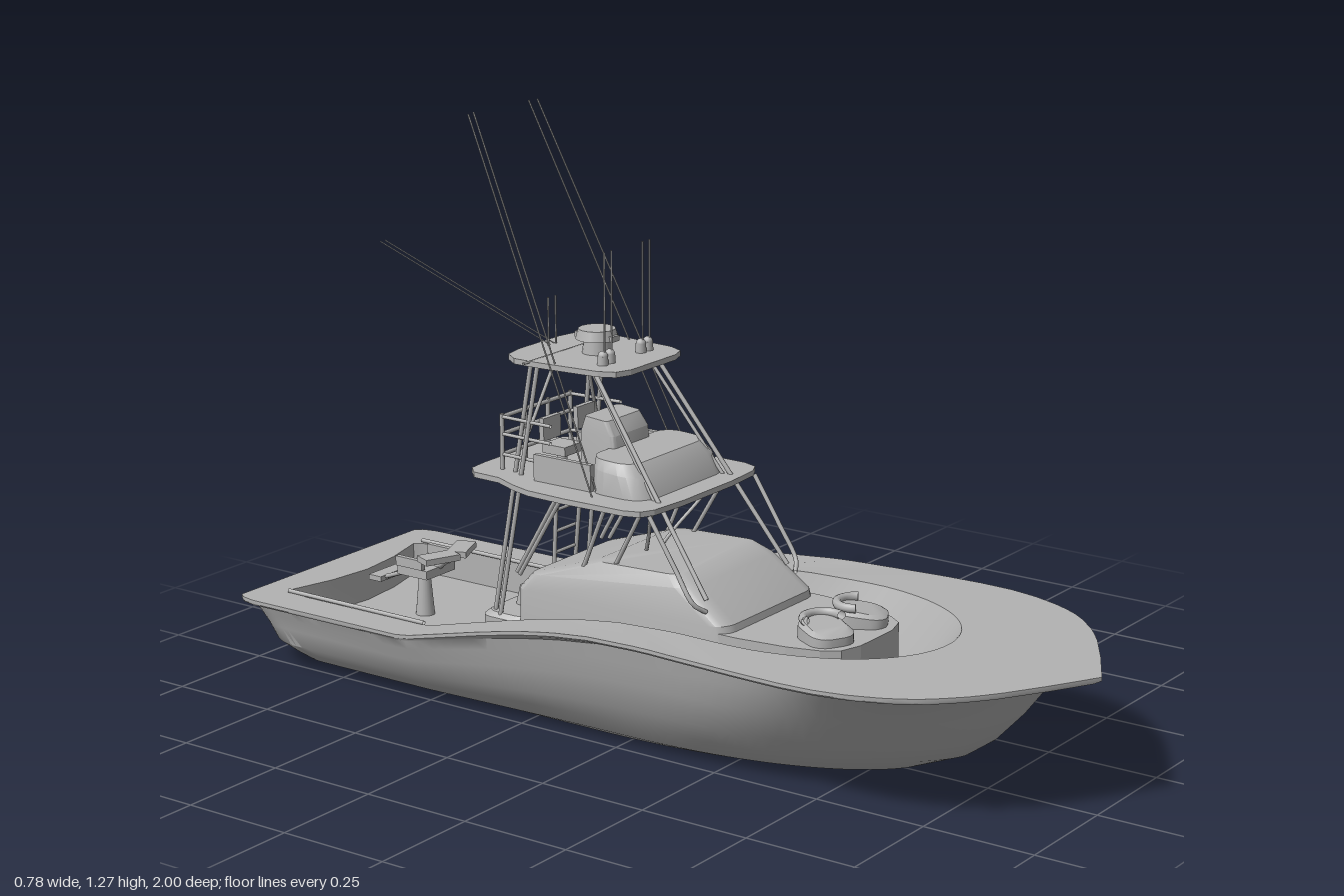
import * as THREE from 'three';
import { toCreasedNormals } from 'three/addons/utils/BufferGeometryUtils.js';

const paint = new THREE.MeshStandardMaterial({ color: 0xb2b2b2, side: THREE.DoubleSide });
paint.name = 'grey paint';

const V = (x, y, z) => new THREE.Vector3(x, y, z);
const clamp = (t) => Math.min(1, Math.max(0, t));

// linear lookup in a list of [key, value] pairs
function lookup(table, k) {
  if (k <= table[0][0]) return table[0][1];
  for (let i = 1; i < table.length; i++) {
    const [k0, v0] = table[i - 1], [k1, v1] = table[i];
    if (k <= k1) return v0 + (v1 - v0) * (k - k0) / (k1 - k0);
  }
  return table[table.length - 1][1];
}

function surface(pos, idx, angle) {
  const g = new THREE.BufferGeometry();
  g.setAttribute('position', new THREE.Float32BufferAttribute(pos, 3));
  g.setIndex(idx);
  return toCreasedNormals(g, angle);
}

const sheer = (z) => lookup([[-1, 0.163], [-0.52, 0.165], [-0.4, 0.195], [-0.3, 0.22], [-0.2, 0.243],
  [-0.1, 0.262], [0, 0.275], [0.15, 0.285], [0.4, 0.288], [1, 0.292]], z);
const railWidth = (z) => lookup([[-1, 0.3], [-0.985, 0.312], [-0.95, 0.32], [-0.5, 0.32], [-0.2, 0.335], [0, 0.35],
  [0.2, 0.37], [0.4, 0.385], [0.5, 0.388], [0.58, 0.384], [0.65, 0.369], [0.72, 0.343], [0.78, 0.308],
  [0.84, 0.25], [0.88, 0.2], [0.94, 0.105], [1, 0]], z);

// hull as stacked waterlines: each level runs stern centre, side, bow
function hullGeometry() {
  const body = (w, base, bow, p, q) => (z) => w(z) * Math.pow(Math.max(0, 1 - Math.pow(clamp((z - base) / (bow - base)), p)), q);
  const level = (stern, bow, base, p, q, w, y) => {
    const f = body(w, base, bow, p, q);
    return { stern, bow, y, x: (z) => f(z) * (1 - 0.1 * clamp((stern + 0.07 - z) / 0.07) ** 2) };
  };
  const k = (v) => () => v;
  const topside = (z) => lookup([[-1, 0.3], [-0.3, 0.312], [0.5, 0.325]], z);
  const well = (z) => lookup([[-0.93, 0.235], [0, 0.238], [0.35, 0.258]], z);
  const floorY = (z) => (z > -0.34 ? 0.17 : 0.09);
  const wellTop = level(-0.93, 0.65, 0.22, 2.4, 0.5, well, sheer);
  const wellLow = level(-0.93, 0.57, 0.15, 2.4, 0.5, (z) => well(z) - 0.04 * clamp((z + 0.3) / 0.6), floorY);
  wellTop.centre = wellLow.centre = -0.89;
  const bottom = level(-0.89, 0.5, -0.1, 2.2, 0.6, k(0.19), k(0.003));
  const levels = [
    { ...bottom, x: k(0) }, bottom,
    level(-0.905, 0.6, 0, 2.2, 0.6, k(0.222), (z) => 0.08 * sheer(z)),
    level(-0.925, 0.7, 0.05, 2.3, 0.65, k(0.25), (z) => 0.22 * sheer(z)),
    level(-0.94, 0.765, 0.1, 2.5, 0.7, k(0.28), (z) => 0.38 * sheer(z)),
    level(-0.96, 0.83, 0.15, 2.8, 0.8, (z) => topside(z) - 0.012, (z) => 0.62 * sheer(z)),
    level(-0.975, 0.87, 0.25, 3.4, 0.9, topside, (z) => 0.8 * sheer(z)),
    level(-0.985, 0.9, 0.35, 3.8, 1, (z) => topside(z) + 0.008, (z) => 0.92 * sheer(z)),
    { stern: -0.995, bow: 0.99, x: (z) => railWidth(z) - 0.003, y: (z) => sheer(z) - 0.012 },
    { stern: -1, bow: 1, x: railWidth, y: (z) => sheer(z) - 0.008 },
    { stern: -1, bow: 1, x: railWidth, y: sheer },
    wellTop, wellLow, { ...wellLow, x: k(0) }];
  const n = 72, row = n + 3, pos = [], idx = [];
  for (const side of [1, -1]) {
    const start = pos.length / 3;
    for (const l of levels) {
      for (let i = -2; i <= n; i++) {
        const s = (1 - Math.cos(Math.PI * Math.max(0, i) / n)) / 2;
        let z = l.stern + (l.bow - l.stern) * s;
        let x = l.x(z);
        const y = l.y(z);
        if (i < 0) x *= i === -2 ? 0 : 0.5;
        if (i < 0 && l.centre) z = i === -2 ? l.centre : l.centre - 0.012;
        pos.push(side * x, y, z);
      }
    }
    for (let j = 0; j < levels.length - 1; j++) for (let i = 0; i < row - 1; i++) {
      const a = start + j * row + i, b = a + 1, c = a + row, d = c + 1;
      idx.push(...(side > 0 ? [a, c, b, b, c, d] : [a, b, c, b, d, c]));
    }
  }
  return surface(pos, idx, 0.6);
}

// capped loft through rounded rectangles [halfWidth, zBack, zFront, yBack, yFront, radius]
function loft(rings) {
  const pos = [], idx = [], n = 20;
  for (const [hx, zb, zf, yb, yf, r] of rings) {
    for (let c = 0; c < 4; c++) for (let i = 0; i < 5; i++) {
      const a = (c + i / 4) * Math.PI / 2;
      const x = (c === 0 || c === 3 ? hx - r : r - hx) + r * Math.cos(a);
      const z = (c < 2 ? zf - r : zb + r) + r * Math.sin(a);
      pos.push(x, yb + (yf - yb) * (z - zb) / (zf - zb), z);
    }
  }
  for (let j = 0; j < rings.length - 1; j++) for (let i = 0; i < n; i++) {
    const a = j * n + i, b = j * n + (i + 1) % n;
    idx.push(a, a + n, b, b, a + n, b + n);
  }
  const top = (rings.length - 1) * n;
  for (let i = 1; i < n - 1; i++) idx.push(0, i, i + 1, top, top + i + 1, top + i);
  return surface(pos, idx, 0.5);
}

// horizontal plate from a half outline of [x, z], back to front
function plate(half, y, h) {
  const pts = [...half, ...half.map(([x, z]) => [-x, z]).reverse()];
  const shape = new THREE.Shape(pts.map(([x, z]) => new THREE.Vector2(x, -z)));
  return new THREE.ExtrudeGeometry(shape, { depth: h, bevelEnabled: false }).rotateX(-Math.PI / 2).translate(0, y, 0);
}

export function createModel() {
  const model = new THREE.Group();
  const add = (name, geo, parent = model) => {
    const m = new THREE.Mesh(geo, paint);
    m.name = name;
    parent.add(m);
    return m;
  };
  const box = (name, w, h, d, x, y, z, p) => add(name, new THREE.BoxGeometry(w, h, d).translate(x, y, z), p);
  const cyl = (name, r0, r1, h, x, y, z) => add(name, new THREE.CylinderGeometry(r0, r1, h, 20).translate(x, y, z));
  const tube = (name, pts, r = 0.005) => {
    const curve = new THREE.CatmullRomCurve3(pts.map((p) => V(...p)));
    return add(name, new THREE.TubeGeometry(curve, pts.length > 2 ? 16 : 1, r, 8));
  };
  const pair = (name, pts, r) => [1, -1].forEach((s) => tube(name, pts.map(([x, y, z]) => [s * x, y, z]), r));

  add('hull', hullGeometry());

  // cabin, forward trunk and loungers
  add('cabin', loft([[0.175, -0.33, 0.25, 0.16, 0.16, 0.04], [0.173, -0.33, 0.22, 0.27, 0.285, 0.04],
    [0.166, -0.3, 0.13, 0.305, 0.352, 0.04], [0.15, -0.13, 0.09, 0.362, 0.37, 0.03]]));
  add('forwardTrunk', plate([[0.17, 0.15], [0.168, 0.25], [0.155, 0.36], [0.135, 0.43], [0.11, 0.465], [0.06, 0.48]], 0.16, 0.11));
  for (const s of [1, -1]) {
    const lounger = new THREE.Group();
    lounger.name = 'lounger';
    add('loungerBase', loft([[0.05, -0.055, 0.055, 0, 0, 0.035], [0.05, -0.055, 0.055, 0.03, 0.018, 0.035],
      [0.04, -0.045, 0.045, 0.04, 0.025, 0.03]]), lounger);
    add('loungerBack', new THREE.TorusGeometry(0.042, 0.01, 8, 16, Math.PI).rotateX(-Math.PI / 2).translate(0, 0.042, -0.01), lounger);
    lounger.position.set(s * 0.068, 0.27, 0.4);
    lounger.rotation.y = s * 0.5;
    model.add(lounger);
  }

  // aft cabinets and cockpit steps
  add('aftCabinet', loft([[0.165, -0.43, -0.31, 0.09, 0.09, 0.03], [0.165, -0.43, -0.31, 0.19, 0.19, 0.03], [0.155, -0.42, -0.31, 0.2, 0.2, 0.03]]));
  add('aftSeat', loft([[0.09, -0.4, -0.3, 0.19, 0.19, 0.02], [0.085, -0.39, -0.3, 0.24, 0.27, 0.02]]));
  box('cockpitStep', 0.12, 0.05, 0.06, 0, 0.115, -0.46);
  pair('coamingRail', [[0.232, 0.168, -0.53], [0.232, 0.168, -0.92]], 0.005);

  // flybridge deck with ribs beneath
  const deckHalf = [[0.1, -0.46], [0.15, -0.455], [0.175, -0.43], [0.178, -0.36], [0.205, -0.3], [0.22, -0.25],
    [0.225, -0.15], [0.222, 0.0], [0.21, 0.035], [0.18, 0.05], [0.09, 0.058]];
  add('flybridgeDeck', plate(deckHalf, 0.5, 0.012));
  for (let i = -4; i <= 4; i++) box('deckRib', 0.008, 0.016, 0.34, i * 0.034, 0.492, -0.2);

  // flybridge coaming, console and helm seats
  add('flybridgeConsole', loft([[0.157, -0.15, 0.005, 0.51, 0.51, 0.05], [0.153, -0.15, -0.015, 0.565, 0.555, 0.05],
    [0.14, -0.15, -0.04, 0.585, 0.58, 0.04]]));
  for (const s of [1, -1]) {
    box('coamingSide', 0.012, 0.06, 0.15, s * 0.147, 0.54, -0.21);
    box('helmSeat', 0.06, 0.02, 0.06, s * 0.06, 0.565, -0.28);
    box('helmSeatBack', 0.06, 0.05, 0.012, s * 0.06, 0.605, -0.312);
    cyl('helmSeatPost', 0.01, 0.014, 0.05, s * 0.06, 0.535, -0.28);
  }
  add('instrumentPod', loft([[0.066, -0.23, -0.13, 0.51, 0.51, 0.01], [0.066, -0.23, -0.14, 0.61, 0.61, 0.01], [0.062, -0.22, -0.16, 0.645, 0.64, 0.01]]));

  // tower legs and braces
  pair('frontRakedLeg', [[0.105, 0.76, -0.16], [0.15, 0.33, 0.16]]);
  pair('frontRakedLegInner', [[0.095, 0.76, -0.175], [0.125, 0.51, 0.01]], 0.004);
  pair('deckFrontLeg', [[0.192, 0.5, 0.045], [0.192, 0.4, 0.11], [0.19, 0.33, 0.155], [0.165, 0.31, 0.17]]);
  pair('windshieldBrace', [[0.11, 0.5, 0.0], [0.085, 0.45, -0.03], [0.05, 0.4, -0.06], [0.025, 0.355, -0.085]], 0.004);
  pair('sideBrace', [[0.15, 0.5, 0.0], [0.14, 0.35, -0.085]]);
  pair('sideBraceMiddle', [[0.155, 0.5, -0.09], [0.15, 0.335, -0.16]]);
  pair('sideBraceAft', [[0.16, 0.5, -0.2], [0.16, 0.3, -0.32]]);
  pair('sideBraceAftSecond', [[0.145, 0.5, -0.22], [0.15, 0.3, -0.335]]);
  pair('aftLeg', [[0.115, 0.76, -0.3], [0.155, 0.19, -0.38]]);
  pair('aftLegSecond', [[0.105, 0.76, -0.325], [0.14, 0.19, -0.405]]);
  pair('topBrace', [[0.05, 0.76, -0.3], [0.12, 0.6, -0.325]], 0.004);
  for (let i = 0; i < 6; i++) tube('ladderRung', [[0.06, 0.23 + i * 0.048, -0.395], [0.14, 0.23 + i * 0.048, -0.395]], 0.004);
  tube('ladderRail', [[0.06, 0.2, -0.4], [0.06, 0.5, -0.385]]);

  // flybridge aft railing
  for (const y of [0.545, 0.59, 0.628]) {
    tube('aftRailing', [[-0.12, y, -0.395], [0.12, y, -0.395]], 0.005);
    pair('sideRailing', [[0.12, y, -0.395], [0.125, y, -0.26]], 0.004);
  }
  for (const x of [0.04, 0.12]) pair('railingPost', [[x, 0.51, -0.395], [x, 0.635, -0.395]], 0.005);

  // hardtop with radar, domes and aerials
  add('hardtop', plate([[0.07, -0.385], [0.12, -0.375], [0.145, -0.34], [0.145, -0.28], [0.132, -0.13], [0.115, -0.095], [0.08, -0.082]], 0.757, 0.012));
  tube('hardtopCrossbar', [[-0.165, 0.767, -0.3], [0.165, 0.767, -0.3]], 0.003);
  cyl('radarPedestal', 0.028, 0.032, 0.035, 0, 0.785, -0.23);
  cyl('radarDome', 0.04, 0.046, 0.022, 0, 0.811, -0.23);
  box('radarBar', 0.025, 0.012, 0.1, 0, 0.805, -0.23).rotation.y = 0;
  for (const x of [0.055, 0.08]) {
    for (const s of [1, -1]) {
      cyl('antennaBase', 0.011, 0.012, 0.02, s * x, 0.778, -0.155);
      add('antennaCap', new THREE.SphereGeometry(0.011, 12, 8).translate(s * x, 0.788, -0.155));
    }
    pair('antenna', [[x, 0.78, -0.15], [x, 1.01, -0.15]], 0.002);
  }
  pair('sternAerial', [[0.013, 0.765, -0.35], [0.013, 0.875, -0.35]], 0.002);
  pair('centreRigger', [[0.008, 0.77, -0.35], [0.008, 0.937, -0.82]], 0.0012);
  pair('outrigger', [[0.18, 0.51, -0.11], [0.118, 1.272, -0.475]], 0.0018);
  pair('outriggerSecond', [[0.15, 0.51, -0.12], [0.094, 1.272, -0.48]], 0.0018);

  // fishing chair
  cyl('chairPedestal', 0.012, 0.022, 0.11, 0, 0.14, -0.72);
  box('chairSeat', 0.1, 0.02, 0.085, 0, 0.2, -0.715);
  for (const s of [1, -1]) {
    box('chairArm', 0.012, 0.022, 0.075, s * 0.055, 0.225, -0.715);
    const back = box('chairBack', 0.085, 0.014, 0.045, 0, 0, 0);
    back.position.set(s * 0.04, 0.245, -0.645);
    back.rotation.y = s * 0.4;
    tube('footrestArm', [[s * 0.03, 0.195, -0.74], [s * 0.03, 0.165, -0.82]], 0.005);
  }
  tube('chairBackPost', [[0, 0.2, -0.69], [0, 0.245, -0.635]], 0.008);
  box('footrest', 0.1, 0.012, 0.035, 0, 0.167, -0.825);

  return model;
}
